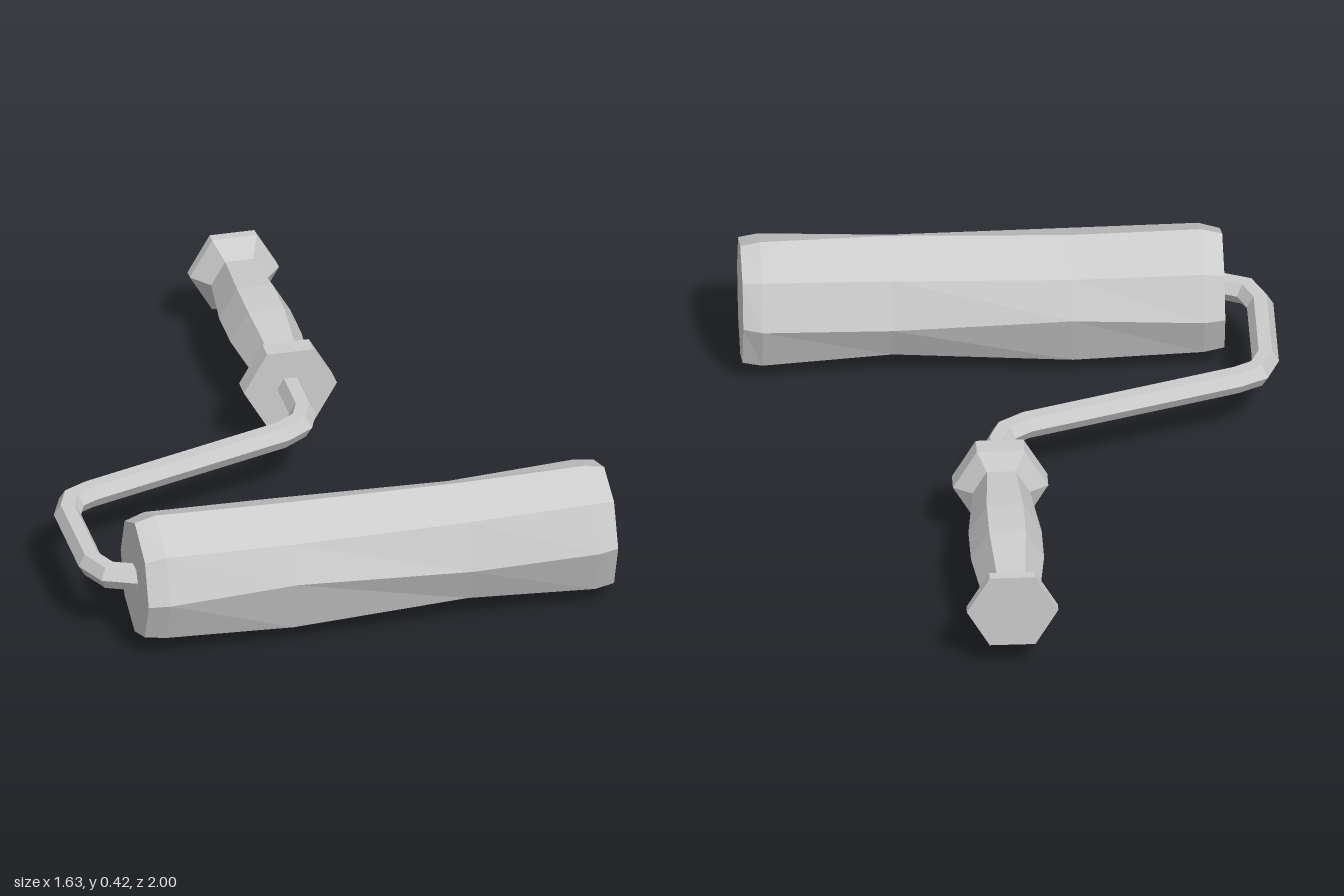
import * as THREE from 'three';

const AXIS_Y = 0.212; // height of rod and handle axis
const material = new THREE.MeshStandardMaterial({
  color: 0xcccccc, flatShading: true,
});

// Skins a row of rings (each counter-clockwise about the travel direction) and caps both ends.
function loft(name, rings) {
  const positions = [];
  const n = rings[0].length;
  const tri = (...corners) => corners.forEach((p) => positions.push(p.x, p.y, p.z));
  const centre = (ring) =>
    ring.reduce((sum, p) => sum.add(p), new THREE.Vector3()).divideScalar(n);
  const first = rings[0];
  const last = rings[rings.length - 1];
  const start = centre(first);
  const end = centre(last);
  for (let j = 0; j < n; j++) {
    const k = (j + 1) % n;
    for (let i = 0; i < rings.length - 1; i++) {
      const [a, b] = [rings[i], rings[i + 1]];
      tri(a[j], a[k], b[k]);
      tri(a[j], b[k], b[j]);
    }
    tri(start, first[k], first[j]);
    tri(end, last[j], last[k]);
  }
  const geometry = new THREE.BufferGeometry();
  geometry.setAttribute('position', new THREE.Float32BufferAttribute(positions, 3));
  geometry.computeVertexNormals();
  const mesh = new THREE.Mesh(geometry, material);
  mesh.name = name;
  return mesh;
}

// Hexagonal rings along a level path of [x, z, radius], mitred at the bends.
function hexSweep(path) {
  const points = path.map(([x, z]) => new THREE.Vector2(x, z));
  return path.map(([x, z, r], i) => {
    const before = points[i].clone().sub(points[Math.max(i - 1, 0)]).normalize();
    const after = points[Math.min(i + 1, points.length - 1)].clone().sub(points[i]).normalize();
    const dir = before.clone().add(after).normalize();
    const mitre = 1 / Math.max(dir.dot(before), dir.dot(after));
    return Array.from({ length: 6 }, (_, j) => {
      const angle = (j * Math.PI) / 3;
      const side = Math.cos(angle) * r * mitre;
      return new THREE.Vector3(
        x + dir.y * side, AXIS_Y + Math.sin(angle) * r, z - dir.x * side);
    });
  });
}

export function createModel() {
  const group = new THREE.Group();
  group.name = 'paintRoller';

  // Handle: flanged grip, swollen in the middle
  const grip = [
    [-0.23, 0.146], [-0.295, 0.146], [-0.33, 0.088], [-0.55, 0.112],
    [-0.7, 0.112], [-0.905, 0.088], [-0.968, 0.14], [-1, 0.14],
  ];
  group.add(loft('handle', hexSweep(grip.map(([z, r]) => [0.07, z, r]))));

  // Bent wire from the handle round to the roller end
  const bends = [
    [0.07, -0.25], [0.07, -0.07], [0.043, 0], [-0.025, 0.047],
    [-0.68, 0.267], [-0.745, 0.302], [-0.775, 0.375],
    [-0.775, 0.685], [-0.738, 0.767], [-0.66, 0.8], [-0.6, 0.805],
  ];
  group.add(loft('rod', hexSweep(bends.map(([x, z]) => [x, z, 0.041]))));

  // Roller sleeve: x, then the five edge heights from top to bottom,
  // then the five edge depths from back to front
  const sections = [
    [-0.665, 0.402, 0.335, 0.205, 0.075, 0.022, 0.615, 0.665, 0.8, 0.935, 0.985],
    [-0.6, 0.42, 0.35, 0.21, 0.07, 0.01, 0.595, 0.65, 0.8, 0.945, 1],
    [-0.2, 0.412, 0.345, 0.23, 0.055, 0.016, 0.595, 0.65, 0.8, 0.945, 0.995],
    [0.35, 0.418, 0.345, 0.2, 0.08, 0.018, 0.615, 0.67, 0.815, 0.935, 0.987],
    [0.75, 0.418, 0.36, 0.215, 0.062, 0, 0.6, 0.655, 0.8, 0.94, 0.997],
    [0.81, 0.405, 0.355, 0.22, 0.07, 0.014, 0.615, 0.662, 0.8, 0.93, 0.985],
  ];
  // Octagon corners as [height, depth] picks: back, over the top, front, underneath
  const corners = [[2, 0], [1, 1], [0, 2], [1, 3], [2, 4], [3, 3], [4, 2], [3, 1]];
  group.add(loft('roller', sections.map((s) =>
    corners.map(([h, d]) => new THREE.Vector3(s[0], s[1 + h], s[6 + d])))));

  return group;
}
